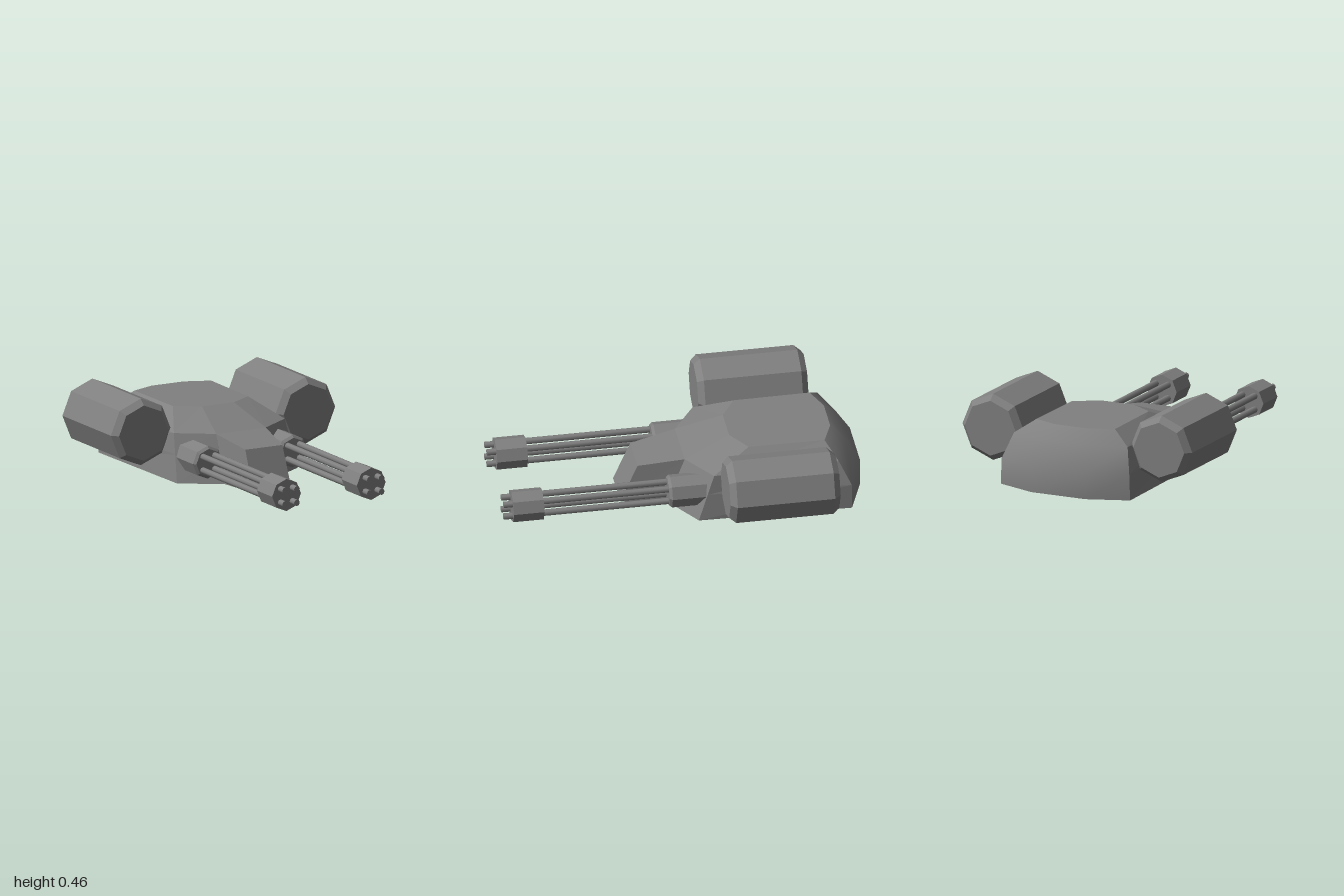
import * as THREE from 'three';
import { toCreasedNormals } from 'three/addons/utils/BufferGeometryUtils.js';

const steel = new THREE.MeshStandardMaterial({ color: 0x808080 });
steel.name = 'steel grey';

// Non-indexed geometry from a list of triangles made of [x, y, z] corners
function fromTriangles(triangles) {
  const geometry = new THREE.BufferGeometry();
  geometry.setAttribute('position', new THREE.Float32BufferAttribute(triangles.flat(2), 3));
  geometry.computeVertexNormals();
  return geometry;
}

// Quads between stacked rows of points, rows running bottom to top
function panel(rows) {
  const triangles = [];
  for (let r = 0; r < rows.length - 1; r++) {
    for (let i = 0; i < rows[r].length - 1; i++) {
      const a = rows[r][i], b = rows[r][i + 1], c = rows[r + 1][i + 1], d = rows[r + 1][i];
      triangles.push([a, b, c], [a, c, d]);
    }
  }
  return triangles;
}

// Triangle fan over a convex outline
function fan(outline) {
  return outline.slice(2).map((p, i) => [outline[0], outline[i + 1], p]);
}

const mirror = ([x, y, z]) => [-x, y, z];

function addMesh(parent, name, geometry) {
  const mesh = new THREE.Mesh(geometry, steel);
  mesh.name = name;
  parent.add(mesh);
  return mesh;
}

// Faceted eight-sided solid along z; profile is [radius, z] from back to front
function octagonal(profile) {
  const geometry = new THREE.LatheGeometry(profile.map(([r, z]) => new THREE.Vector2(r, z)), 8);
  geometry.rotateX(Math.PI / 2);
  const flat = geometry.toNonIndexed();
  flat.computeVertexNormals();
  return flat;
}

// Half cross-sections of the hull: nose joint, front corner, rear corner, rear
const levels = [
  [[0.16, 0, 0.07], [0.378, 0, -0.07], [0.395, 0, -0.915], [0.165, 0, -1]],
  [[0.158, 0.15, 0.012], [0.36, 0.15, -0.122], [0.39, 0.145, -0.915], [0.165, 0.15, -1]],
  [[0.155, 0.26, -0.03], [0.347, 0.26, -0.16], [0.347, 0.28, -0.85], [0.13, 0.285, -0.92]],
  [[0.1, 0.355, -0.285], [0.235, 0.355, -0.37], [0.24, 0.355, -0.79], [0.1, 0.355, -0.845]],
];

function createHull() {
  const hull = new THREE.Group();
  hull.name = 'hull';
  const ring = (level) => [...level, ...level.map(mirror).reverse()];

  // Side and front walls, roof and floor
  const walls = levels.map(([j, c, rc]) => [mirror(rc), mirror(c), mirror(j), j, c, rc]);
  addMesh(hull, 'hullWalls', fromTriangles(panel(walls)));
  addMesh(hull, 'roof', fromTriangles(fan(ring(levels[3]))));
  addMesh(hull, 'floor', fromTriangles(fan(ring(levels[0]).reverse())));

  // Rounded rear
  const rear = levels.map(([, , rc, r]) => [rc, r, mirror(r), mirror(rc)]);
  addMesh(hull, 'rearShell', toCreasedNormals(fromTriangles(panel(rear)), 0.7));

  // Tapered nose
  const noseRow = (joint, tip) => [mirror(joint), mirror(tip), tip, joint];
  const low = noseRow(levels[0][0], [0.118, 0, 0.32]);
  const high = noseRow(levels[2][0], [0.116, 0.22, 0.225]);
  addMesh(hull, 'nose', fromTriangles([
    ...panel([low, high]), ...fan(high), ...fan([...low].reverse()),
  ]));
  return hull;
}

function createGun(side) {
  const gun = new THREE.Group();
  gun.name = side > 0 ? 'leftGun' : 'rightGun';
  gun.position.set(side * 0.265, 0.135, 0);

  addMesh(gun, 'gunHousing', octagonal([[0, -0.2], [0.092, -0.2], [0.092, 0.07], [0.078, 0.085], [0, 0.085]]));
  addMesh(gun, 'muzzleClamp', octagonal([[0, 0.78], [0.09, 0.78], [0.09, 0.95], [0, 0.95]]));

  // Four parallel barrels
  const barrel = new THREE.CylinderGeometry(0.018, 0.018, 0.95, 8).rotateX(Math.PI / 2);
  for (const x of [-0.037, 0.037]) {
    for (const y of [-0.038, 0.038]) {
      addMesh(gun, 'barrel', barrel).position.set(x, y, 0.525);
    }
  }
  return gun;
}

export function createModel() {
  const model = new THREE.Group();
  model.name = 'turret';
  model.add(createHull());

  const podShape = octagonal([[0, -0.805], [0.155, -0.805], [0.187, -0.77], [0.187, -0.23], [0.155, -0.195], [0, -0.195]]);
  for (const side of [1, -1]) {
    model.add(createGun(side));
    addMesh(model, side > 0 ? 'leftPod' : 'rightPod', podShape).position.set(side * 0.515, 0.272, 0);
  }
  return model;
}
